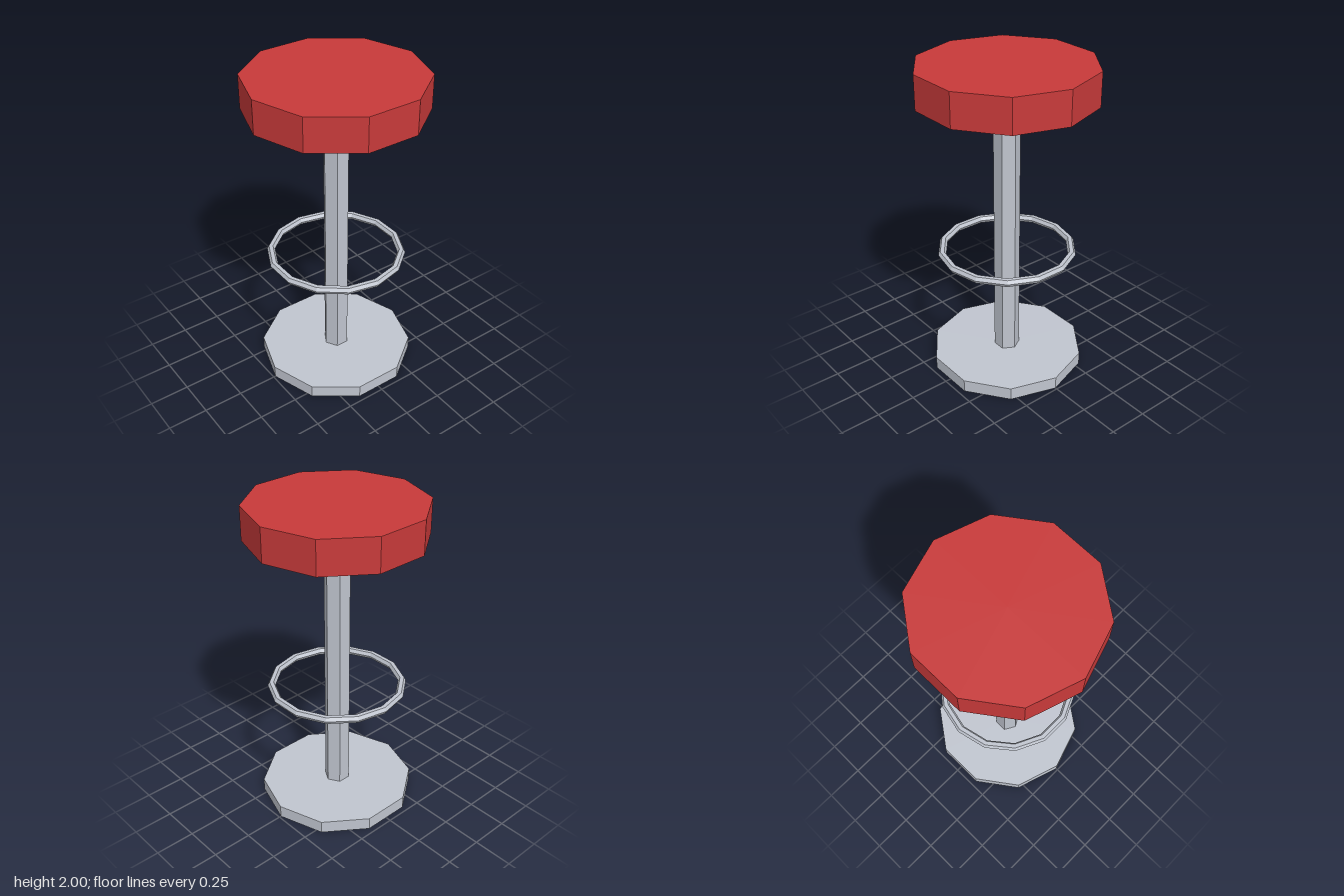
import * as THREE from 'three';

export function createModel() {
  const model = new THREE.Group();
  model.name = 'barStool';

  const red = new THREE.MeshStandardMaterial({ color: 0xc83a3a, flatShading: true });
  red.name = 'red seat';
  const steel = new THREE.MeshStandardMaterial({ color: 0xc0c5cf, flatShading: true });
  steel.name = 'steel grey';

  // Upright prism between two heights, with a corner facing the front
  const prism = (name, radius, bottom, top, sides, material) => {
    const mesh = new THREE.Mesh(
      new THREE.CylinderGeometry(radius, radius, top - bottom, sides), material);
    mesh.name = name;
    mesh.position.y = (bottom + top) / 2;
    model.add(mesh);
  };

  prism('base', 0.488, 0, 0.081, 10, steel);
  prism('post', 0.081, 0.081, 1.79, 6, steel);
  prism('seat', 0.542, 1.79, 2, 10, red);

  // Foot ring floating around the post
  const ring = new THREE.Mesh(new THREE.TorusGeometry(0.408, 0.025, 6, 14), steel);
  ring.name = 'footRing';
  ring.rotation.x = Math.PI / 2;
  ring.position.y = 0.807;
  model.add(ring);

  return model;
}
